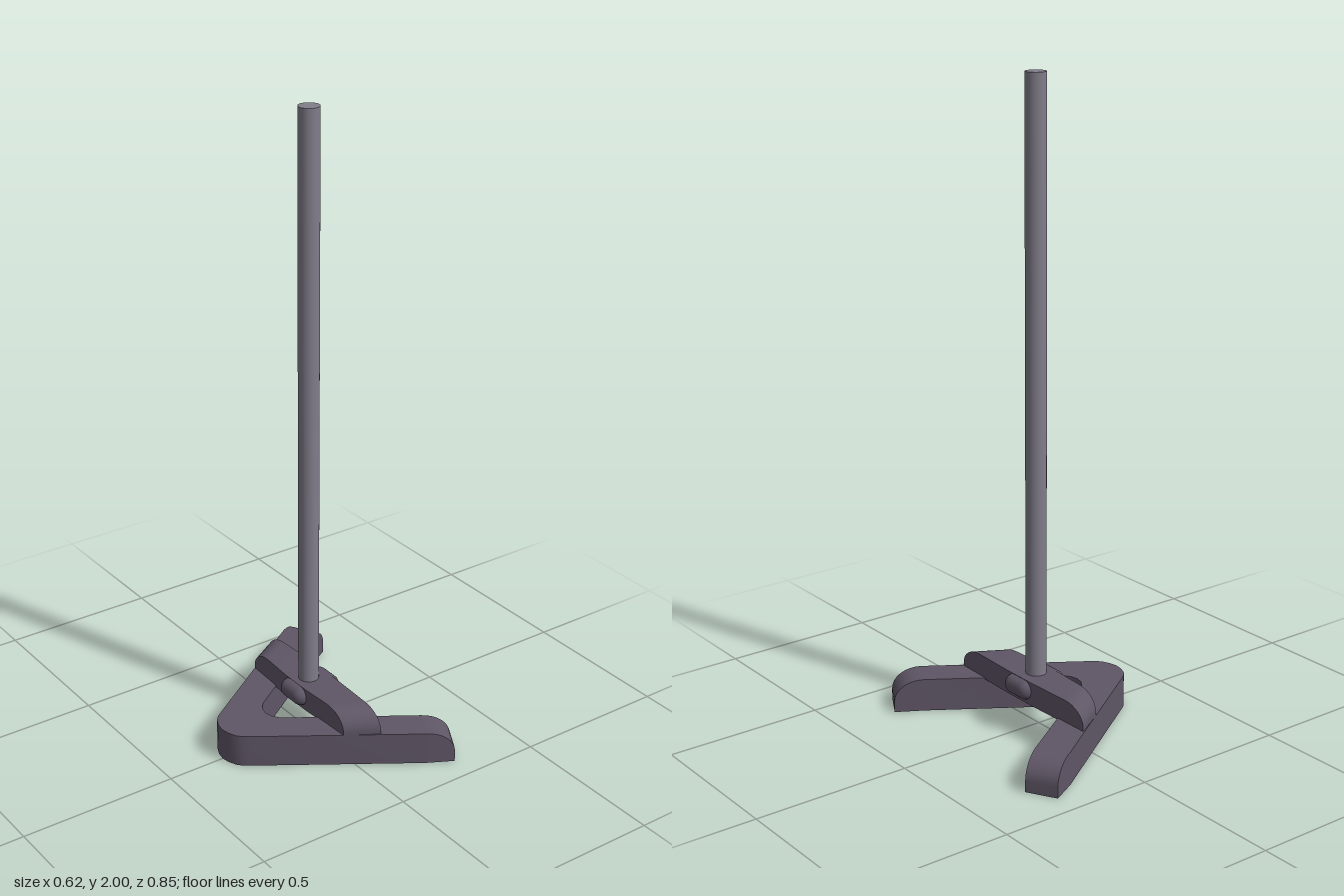
import * as THREE from 'three';
import { toCreasedNormals } from 'three/addons/utils/BufferGeometryUtils.js';
import { RoundedBoxGeometry } from 'three/addons/geometries/RoundedBoxGeometry.js';

// Skins four-sided sections [xA, zA, xB, zB, top] that stand on a flat bottom
function loft(sections, bottom) {
  const rings = sections.map(([xa, za, xb, zb, top]) => [
    [xa, bottom, za], [xa, top, za], [xb, top, zb], [xb, bottom, zb]]);
  const pos = [];
  const quad = (a, b, c, d) => pos.push(...a, ...b, ...c, ...a, ...c, ...d);
  for (let i = 0; i < rings.length - 1; i++) {
    for (let k = 0; k < 4; k++) {
      const n = (k + 1) % 4;
      quad(rings[i][k], rings[i][n], rings[i + 1][n], rings[i + 1][k]);
    }
  }
  const s = rings[0], e = rings[rings.length - 1];
  quad(s[0], s[3], s[2], s[1]);
  quad(e[0], e[1], e[2], e[3]);
  const geo = new THREE.BufferGeometry();
  geo.setAttribute('position', new THREE.Float32BufferAttribute(pos, 3));
  return toCreasedNormals(geo, 0.55);
}

// Sections easing from a low end up to full height along a quarter ellipse
function roundedEnd(end, full, steps = 8) {
  const out = [];
  for (let i = 0; i <= steps; i++) {
    const a = (i / steps) * Math.PI / 2, t = 1 - Math.cos(a);
    const row = full.map((v, j) => THREE.MathUtils.lerp(end[j], v, t));
    row[4] = THREE.MathUtils.lerp(end[4], full[4], Math.sin(a));
    out.push(row);
  }
  return out;
}

const mirrorZ = ([xa, za, xb, zb, top]) => [xa, -za, xb, -zb, top];

export function createModel() {
  const group = new THREE.Group();
  const iron = new THREE.MeshStandardMaterial({ color: 0x5f5666 });
  iron.name = 'dark iron';
  const steel = new THREE.MeshStandardMaterial({ color: 0x817d8a });
  steel.name = 'grey steel';
  const add = (name, geo, mat, x = 0, y = 0, z = 0) => {
    const mesh = new THREE.Mesh(geo, mat);
    mesh.name = name;
    mesh.position.set(x, y, z);
    group.add(mesh);
  };

  // V-shaped foot: one leg up to the nose, then its mirror
  const h = 0.105;
  const leg = [
    ...roundedEnd([0.26, 0.423, 0.31, 0.335, 0.035], [0.18, 0.38, 0.23, 0.288, h]),
    [-0.268, 0.08, -0.11, 0.062, h],
    [-0.284, 0.068, -0.122, 0.054, h],
    [-0.297, 0.053, -0.134, 0.043, h],
    [-0.308, 0.028, -0.147, 0.023, h],
  ];
  add('foot', loft([...leg, [-0.313, 0, -0.152, 0, h], ...leg.map(mirrorZ).reverse()], 0), iron);

  // Crossbar over both legs, with ends sloping down to the outer edges
  const bar = [
    ...roundedEnd([-0.03, 0.24, 0.068, 0.3, 0.115], [-0.033, 0.16, 0.07, 0.215, 0.175]),
    [-0.039, 0.055, 0.075, 0.055, 0.175],
  ];
  add('crossbar', loft([...bar, ...bar.map(mirrorZ).reverse()], 0.1), iron);

  // Boss that holds the rod
  add('boss', new RoundedBoxGeometry(0.17, 0.062, 0.115, 5, 0.03), iron, 0.016, 0.143, 0);

  // Upright rod
  add('rod', new THREE.CylinderGeometry(0.032, 0.032, 1.89, 32), steel, 0.013, 1.055, -0.003);

  return group;
}
